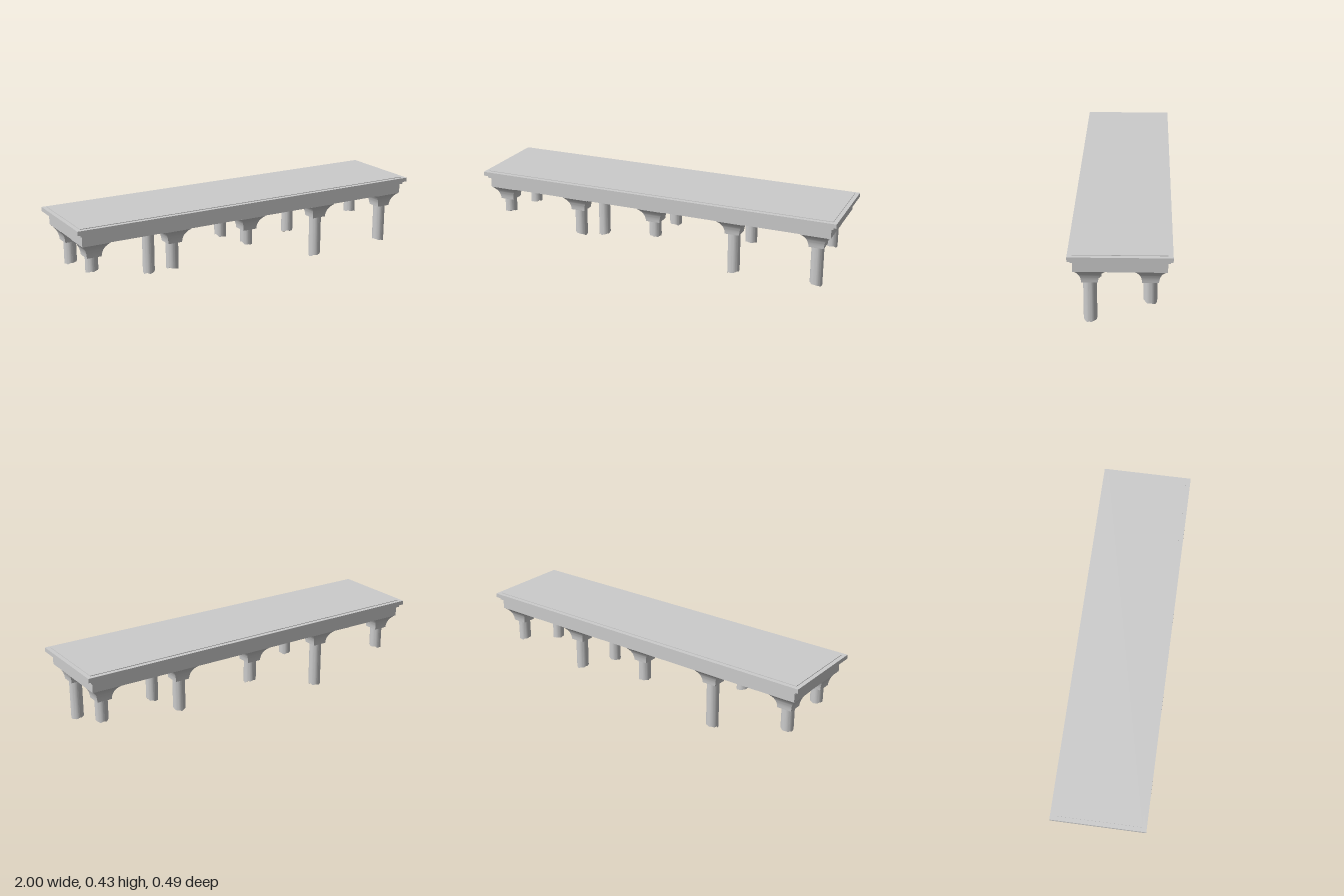
import * as THREE from 'three';
import { toCreasedNormals } from 'three/addons/utils/BufferGeometryUtils.js';

const material = new THREE.MeshStandardMaterial({ color: 0xcccccc });
const RADIUS = 0.0325;
const NECK = 0.261; // underside of the capitals
const SOFFIT = 0.338; // underside of the beam

function addMesh(parent, geometry, name) {
  const mesh = new THREE.Mesh(geometry, material);
  mesh.name = name;
  parent.add(mesh);
  return mesh;
}

// Square capital with a concave flare
function capitalGeometry() {
  const curve = new THREE.CubicBezierCurve(
    new THREE.Vector2(0.039, NECK), new THREE.Vector2(0.041, 0.297),
    new THREE.Vector2(0.054, 0.318), new THREE.Vector2(0.074, 0.335));
  const profile = [new THREE.Vector2(0, NECK), ...curve.getPoints(12),
    new THREE.Vector2(0.074, SOFFIT)];
  profile.forEach((p) => { p.x *= Math.SQRT2; });
  return toCreasedNormals(new THREE.LatheGeometry(profile, 4, Math.PI / 4), 0.45);
}

// Round shaft whose lower end is snapped off: tilted, jagged and hollowed
function brokenShaftGeometry(bottom, uphill, seed) {
  const rings = [0, 0.35, 0.7, 1].map((f) => new THREE.Vector2(f * RADIUS, 0));
  const profile = [...rings, new THREE.Vector2(RADIUS, NECK)];
  const geometry = new THREE.LatheGeometry(profile, 28);
  const pos = geometry.attributes.position;
  const zigzag = (t) => Math.abs(((t % 1) + 1) % 1 - 0.5) * 2;
  const heights = [];
  for (let i = 0; i < pos.count; i++) {
    const x = pos.getX(i) / RADIUS, z = pos.getZ(i) / RADIUS;
    const tilt = 0.007 * (x * Math.cos(uphill) + z * Math.sin(uphill));
    const teeth = 0.007 * zigzag(x * 0.9 + z * 0.5 + seed * 0.37)
      + 0.006 * zigzag(z * 1.1 - x * 0.6 + seed * 0.61);
    heights.push(tilt + teeth + 0.008 * (1 - Math.hypot(x, z)));
  }
  const low = Math.min(...heights);
  for (let i = 0; i < pos.count; i++) {
    if (pos.getY(i) < 0.1) pos.setY(i, bottom + heights[i] - low);
  }
  return toCreasedNormals(geometry, 0.4);
}

export function createModel() {
  const model = new THREE.Group();
  model.name = 'brokenColonnade';

  // Stepped entablature: [name, width, depth, bottom, top]
  const tiers = [
    ['beam', 1.94, 0.439, SOFFIT, 0.391],
    ['lowerMoulding', 1.964, 0.462, 0.391, 0.405],
    ['cornice', 2, 0.486, 0.405, 0.427],
    ['roofPanel', 1.956, 0.44, 0.427, 0.43],
  ];
  for (const [name, w, d, y0, y1] of tiers) {
    addMesh(model, new THREE.BoxGeometry(w, y1 - y0, d), name).position.y = (y0 + y1) / 2;
  }

  // Two rows of columns from -x to +x: [lowest point, direction in which the break rises]
  const rows = [
    { name: 'front', z: 0.1435, columns: [[0.173, 1], [0.105, 2.5], [0.173, 4], [0.03, 0.3], [0.043, 3.1]] },
    { name: 'back', z: -0.14, columns: [[0.135, 0.5], [0, -1], [0.133, 3.6], [0.087, 1.6], [0.141, 2.2]] },
  ];
  const capital = capitalGeometry();
  rows.forEach((row, r) => row.columns.forEach(([bottom, uphill], i) => {
    const column = new THREE.Group();
    column.name = `${row.name}Column${i + 1}`;
    column.position.set(-0.003 + (i - 2) * 0.446, 0, row.z);
    addMesh(column, capital, 'capital');
    addMesh(column, brokenShaftGeometry(bottom, uphill, r * 5 + i), 'brokenShaft');
    model.add(column);
  }));
  return model;
}
